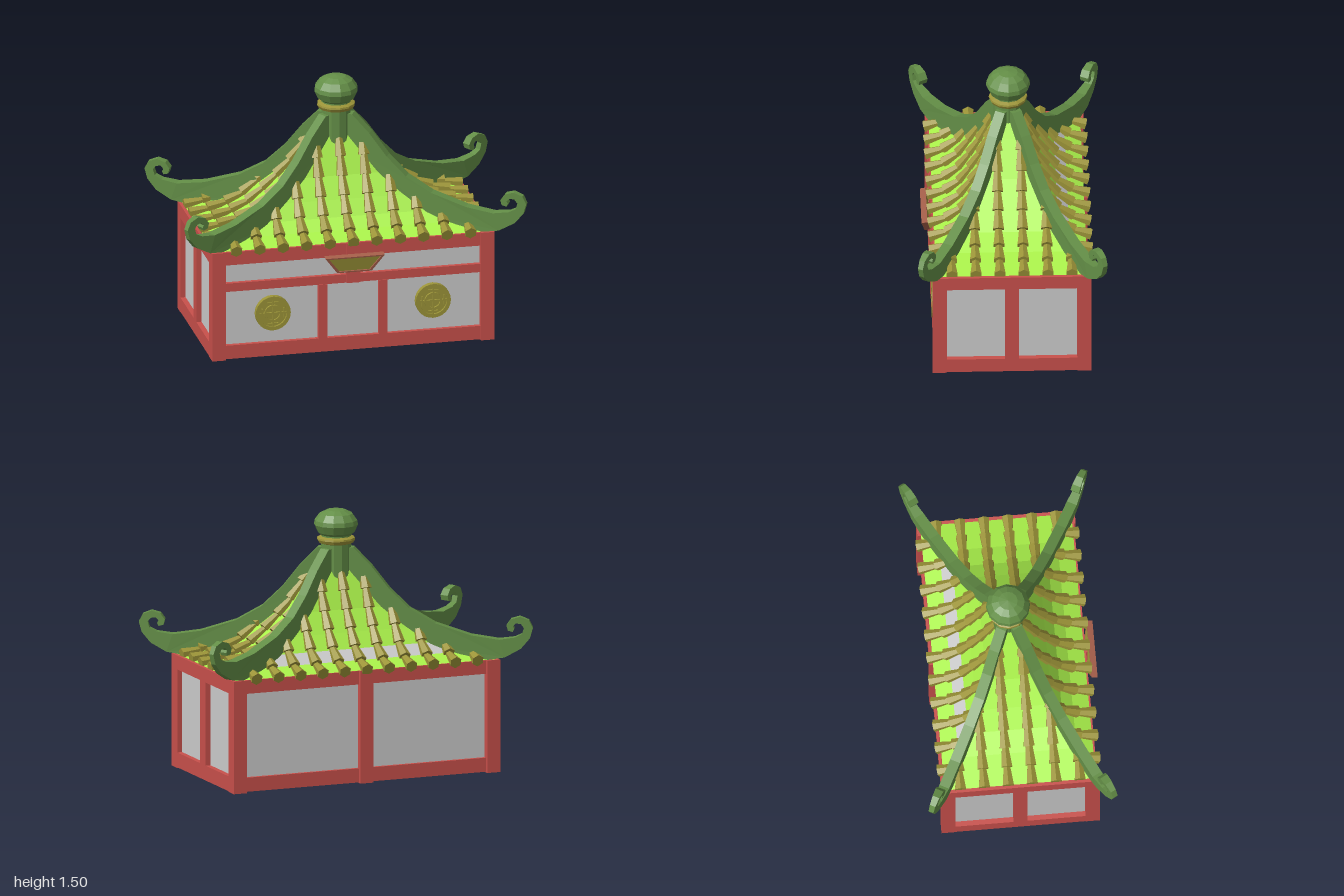
import * as THREE from 'three';

const mat = (color, side = THREE.FrontSide) =>
  new THREE.MeshStandardMaterial({ color, side, flatShading: true });
const RED = mat(0xc8504b), GREY = mat(0xcccccc), GREEN = mat(0x648f47), OLIVE = mat(0x9c9438);
const BROWN = mat(0xa65f4a), LIME = mat(0xaaf24a, THREE.DoubleSide), BARE = mat(0xcccccc, THREE.DoubleSide);

// Roof: half sizes at the eave, and height by distance from the centre (0) to the eave (1)
const HX = 0.8, HZ = 0.43;
const PROFILE = [[0, 1.32], [0.17, 1.13], [0.34, 0.95], [0.5, 0.83], [0.63, 0.745], [0.78, 0.69], [1, 0.65], [1.2, 0.63]];
function roofY(t) {
  let i = 0;
  while (i < PROFILE.length - 2 && t > PROFILE[i + 1][0]) i++;
  const [a, ya] = PROFILE[i], [b, yb] = PROFILE[i + 1];
  return ya + (yb - ya) * (t - a) / (b - a);
}

function add(parent, name, geometry, material, x = 0, y = 0, z = 0) {
  const m = new THREE.Mesh(geometry, material);
  m.name = name;
  m.position.set(x, y, z);
  parent.add(m);
  return m;
}

// Box given by its limits
function block(parent, name, x0, x1, y0, y1, z0, z1, material = RED) {
  return add(parent, name, new THREE.BoxGeometry(x1 - x0, y1 - y0, z1 - z0), material,
    (x0 + x1) / 2, (y0 + y1) / 2, (z0 + z1) / 2);
}

function polygon(points) {
  return new THREE.Shape(points.map(([x, y]) => new THREE.Vector2(x, y)));
}

function buildBody() {
  const g = new THREE.Group();
  g.name = 'body';
  block(g, 'walls', -0.79, 0.79, 0.004, 0.62, -0.41, 0.415, GREY);
  for (const s of [-1, 1]) {
    const x0 = s > 0 ? 0.74 : -0.82, x1 = x0 + 0.08;
    block(g, 'frontCornerPost', x0, x1, 0, 0.65, 0.37, 0.45);
    block(g, 'backCornerPost', x0, x1, 0, 0.65, -0.45, -0.37);
    block(g, 'sidePost', x0, x1, 0.08, 0.58, -0.04, 0.04);
    block(g, 'sideSill', x0, x1, 0.004, 0.09, -0.37, 0.37);
    block(g, 'sideTopBeam', x0, x1, 0.57, 0.65, -0.37, 0.37);
    block(g, 'doorPost', s * 0.175 - 0.025, s * 0.175 + 0.025, 0.08, 0.41, 0.4, 0.445);
  }
  for (const [z0, z1] of [[0.38, 0.44], [-0.43, -0.38]]) {
    block(g, 'sill', -0.74, 0.74, 0.004, 0.085, z0, z1);
    block(g, 'topBeam', -0.74, 0.74, 0.57, 0.648, z0, z1);
  }
  block(g, 'frontMiddleBeam', -0.74, 0.74, 0.41, 0.46, 0.4, 0.44);
  block(g, 'frontCentrePost', -0.04, 0.04, 0.41, 0.65, 0.4, 0.45);
  block(g, 'backCentrePost', -0.04, 0.04, 0, 0.65, -0.45, -0.38);
  return g;
}

// Round lattice ornament with rim, inner ring and bars
function buildMedallion(x) {
  const g = new THREE.Group();
  g.name = 'medallion';
  g.position.set(x, 0.26, 0.41);
  const disc = add(g, 'disc', new THREE.CylinderGeometry(0.095, 0.095, 0.024, 12), OLIVE, 0, 0, 0.012);
  disc.rotation.x = Math.PI / 2;
  for (const [outer, inner] of [[0.102, 0.08], [0.05, 0.04]]) {
    const ring = new THREE.Shape().absarc(0, 0, outer, 0, Math.PI * 2);
    ring.holes.push(new THREE.Path().absarc(0, 0, inner, 0, Math.PI * 2, true));
    add(g, 'ring', new THREE.ExtrudeGeometry(ring, { depth: 0.036, bevelEnabled: false, curveSegments: 12 }), OLIVE);
  }
  for (let k = 0; k < 4; k++) {
    const arm = new THREE.Group();
    arm.name = 'latticeArm';
    arm.rotation.z = k * Math.PI / 2;
    block(arm, 'latticeBar', -0.005, 0.005, 0, 0.085, 0.01, 0.034, OLIVE);
    block(arm, 'latticeCrossBar', -0.03, 0.03, 0.059, 0.067, 0.01, 0.034, OLIVE);
    g.add(arm);
  }
  return g;
}

// Tilted trapezoid plaque above the door
function buildPlaque() {
  const g = new THREE.Group();
  g.name = 'plaque';
  g.position.set(0, 0.54, 0.452);
  g.rotation.x = 0.2;
  const outline = [[-0.1, -0.05], [0.1, -0.05], [0.172, 0.05], [-0.172, 0.05]];
  const inner = outline.map(([x, y]) => [x * 0.88, y * 0.84]);
  const frame = polygon(outline);
  frame.holes.push(new THREE.Path(polygon(inner).getPoints().reverse()));
  add(g, 'plaqueFrame', new THREE.ExtrudeGeometry(frame, { depth: 0.034, bevelEnabled: false }), BROWN);
  add(g, 'plaquePanel', new THREE.ExtrudeGeometry(polygon(inner), { depth: 0.026, bevelEnabled: false }), OLIVE);
  return g;
}

// One roof slope seen along +z: half depth d, half width w
function buildSlope(name, w, d, columns, overhang, bareBand) {
  const g = new THREE.Group();
  g.name = name;
  for (let i = 0; i < 6; i++) {
    const [a, ya] = PROFILE[i], [b, yb] = PROFILE[i + 1];
    const geo = new THREE.BufferGeometry();
    geo.setAttribute('position', new THREE.Float32BufferAttribute([
      -w * b, yb, d * b, w * b, yb, d * b, w * a, ya, d * a, -w * a, ya, d * a], 3));
    geo.setIndex([0, 1, 2, 0, 2, 3]);
    geo.computeVertexNormals();
    add(g, 'roofBand', geo, i === bareBand ? BARE : LIME);
  }
  // Rows of tapered tiles climbing from the eave to the hip ridge
  for (const x of columns) {
    const end = Math.max(0.17, Math.abs(x) / w);
    let t = overhang;
    while (t > end + 0.03) {
      const low = new THREE.Vector3(x, roofY(t) + 0.012, d * t);
      let u = t;
      const high = low.clone();
      while (u > end - 0.01 && high.distanceTo(low) < 0.1) {
        u -= 0.01;
        high.set(x, roofY(u) + 0.004, d * u);
      }
      const dir = high.clone().sub(low);
      const tile = add(g, 'roofTile', new THREE.CylinderGeometry(0.021, 0.036, dir.length() + 0.012, 6), OLIVE);
      tile.position.copy(low).add(high).multiplyScalar(0.5);
      tile.rotation.x = Math.atan2(dir.z, dir.y);
      t = u;
    }
  }
  return g;
}

// Hip ridge: side outline with a curled tip, thinner towards the tip
function ridgeGeometry() {
  const stretch = 1.132;
  const outline = [
    [0.02, 1.1], [0.14, 1.05], [0.27, 0.9], [0.5, 0.72], [0.74, 0.645], [0.85, 0.665], [0.93, 0.715],
    [0.975, 0.775], [0.99, 0.835], [0.97, 0.88], [0.925, 0.9], [0.88, 0.885], [0.858, 0.85],
    [0.865, 0.82], [0.89, 0.812], [0.897, 0.83], [0.89, 0.845], [0.905, 0.862], [0.93, 0.858],
    [0.945, 0.835], [0.935, 0.8], [0.9, 0.78], [0.82, 0.767], [0.68, 0.79], [0.5, 0.855],
    [0.37, 0.94], [0.27, 1.05], [0.18, 1.18], [0.09, 1.285], [0.02, 1.285]];
  const geo = new THREE.ExtrudeGeometry(polygon(outline.map(([x, y]) => [x * stretch, y])),
    { depth: 0.06, bevelEnabled: false });
  geo.translate(0, 0, -0.03);
  const p = geo.attributes.position;
  for (let i = 0; i < p.count; i++) {
    const k = THREE.MathUtils.clamp((p.getX(i) / stretch - 0.82) / 0.17, 0, 1);
    p.setZ(i, p.getZ(i) * (1 - 0.5 * k));
  }
  geo.computeVertexNormals();
  return geo;
}

function buildRoof() {
  const g = new THREE.Group();
  g.name = 'roof';
  const long = [], short = [];
  for (let i = -5; i <= 5; i++) long.push(i * 0.136);
  for (let i = -2.5; i <= 2.5; i++) short.push(i * 0.136);
  const slopes = [
    buildSlope('frontSlope', HX, HZ, long, 1.05, -1), buildSlope('leftSlope', HZ, HX, short, 1, -1),
    buildSlope('backSlope', HX, HZ, long, 1.05, 4), buildSlope('rightSlope', HZ, HX, short, 1, -1)];
  slopes.forEach((s, i) => {
    s.rotation.y = i * Math.PI / 2;
    g.add(s);
  });
  const ridge = ridgeGeometry(), a = Math.atan(0.53);
  for (const angle of [a, Math.PI - a, Math.PI + a, -a]) add(g, 'hipRidge', ridge, GREEN).rotation.y = angle;
  return g;
}

// Neck, collar and knob on the top
function buildFinial() {
  const g = new THREE.Group();
  g.name = 'finial';
  const lathe = (name, pts, m) =>
    add(g, name, new THREE.LatheGeometry(pts.map(([x, y]) => new THREE.Vector2(x, y)), 12), m);
  lathe('neck', [[0, 1.1], [0.085, 1.1], [0.085, 1.36], [0, 1.36]], GREEN);
  lathe('collar', [[0.08, 1.305], [0.1, 1.312], [0.11, 1.33], [0.108, 1.34], [0.08, 1.35]], OLIVE);
  lathe('knob', [[0.07, 1.345], [0.105, 1.37], [0.126, 1.415], [0.122, 1.44], [0.095, 1.478], [0.055, 1.498], [0, 1.505]], GREEN);
  return g;
}

export function createModel() {
  const model = new THREE.Group();
  model.name = 'pavilion';
  model.add(buildBody(), buildMedallion(0.465), buildMedallion(-0.465), buildPlaque(), buildRoof(), buildFinial());
  return model;
}
